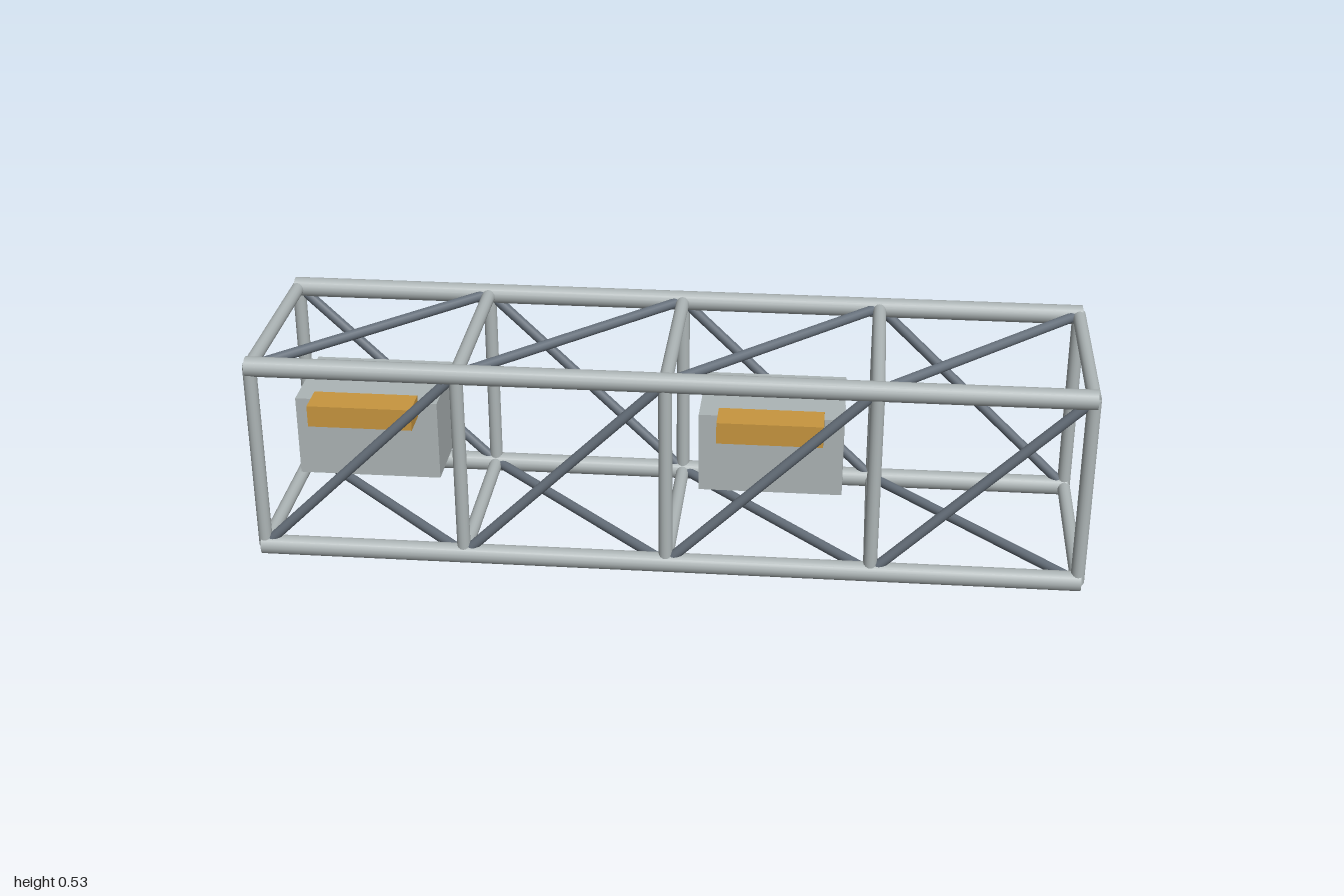
import * as THREE from 'three';

const mat = (name, color) => {
  const m = new THREE.MeshStandardMaterial({ color });
  m.name = name;
  return m;
};

export function createModel() {
  const model = new THREE.Group();
  model.name = 'boxTruss';
  const steel = mat('galvanised steel', 0xadb5b6);
  const slate = mat('slate brace', 0x66707b);
  const amber = mat('amber', 0xc8963f);

  const LOW = 0.024, HIGH = 0.504, SIDE = 0.241, BAY = 0.492;
  const V = (x, y, z) => new THREE.Vector3(x, y, z);
  const up = V(0, 1, 0);

  // Round bar between two points
  function bar(name, a, b, radius, material) {
    const dir = b.clone().sub(a);
    const mesh = new THREE.Mesh(new THREE.CylinderGeometry(radius, radius, dir.length(), 16), material);
    mesh.name = name;
    mesh.position.copy(a).add(b).multiplyScalar(0.5);
    mesh.quaternion.setFromUnitVectors(up, dir.normalize());
    model.add(mesh);
  }

  function box(name, x, y, z, w, h, d, material) {
    const mesh = new THREE.Mesh(new THREE.BoxGeometry(w, h, d), material);
    mesh.name = name;
    mesh.position.set(x, y, z);
    model.add(mesh);
  }

  // Four long chords
  for (const y of [LOW, HIGH])
    for (const z of [-SIDE, SIDE])
      bar('chord', V(-0.992, y, z), V(0.992, y, z), 0.024, steel);

  // Square frames at the five stations
  for (let i = -2; i <= 2; i++) {
    const x = i * BAY;
    for (const z of [-SIDE, SIDE]) bar('post', V(x, LOW, z), V(x, HIGH, z), 0.0165, steel);
    for (const y of [LOW, HIGH]) bar('crossBeam', V(x, y, -SIDE), V(x, y, SIDE), 0.0165, steel);
  }

  // Diagonal braces, opposed on opposite faces of each bay
  for (let i = -2; i < 2; i++) {
    const a = i * BAY, b = a + BAY;
    bar('frontBrace', V(a, LOW, SIDE), V(b, HIGH, SIDE), 0.0125, slate);
    bar('backBrace', V(a, HIGH, -SIDE), V(b, LOW, -SIDE), 0.0125, slate);
    bar('topBrace', V(a, HIGH, SIDE), V(b, HIGH, -SIDE), 0.0125, slate);
    bar('bottomBrace', V(a, LOW, -SIDE), V(b, LOW, SIDE), 0.0125, slate);
  }

  // Equipment boxes with amber front units
  for (const x of [-0.741, 0.243]) {
    box('equipmentBox', x, 0.264, 0, 0.348, 0.202, 0.241, steel);
    box('amberUnit', x, 0.355, 0.154, 0.253, 0.054, 0.082, amber);
  }
  return model;
}
